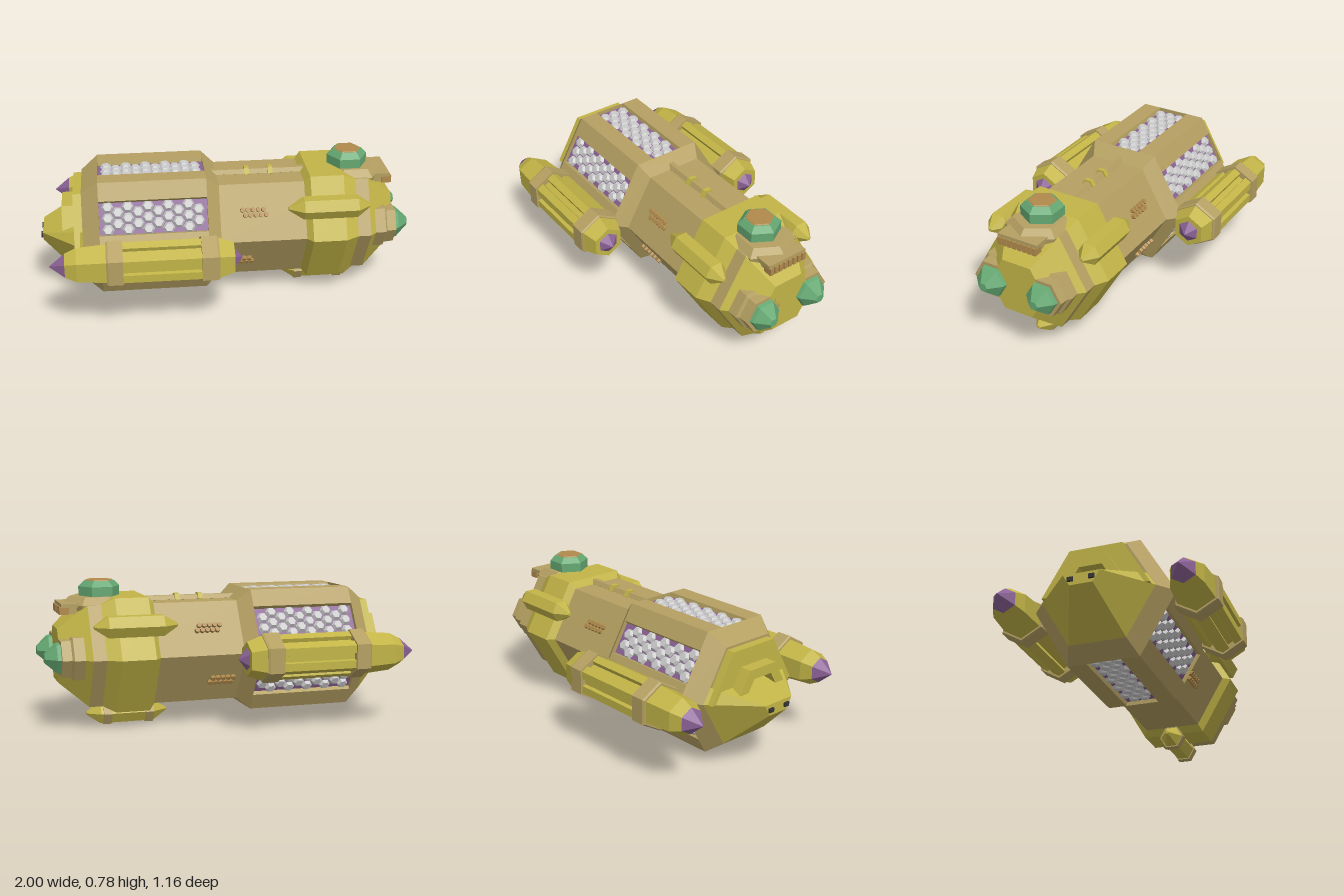
import * as THREE from 'three';
import { mergeGeometries } from 'three/addons/utils/BufferGeometryUtils.js';
import { ConvexGeometry } from 'three/addons/geometries/ConvexGeometry.js';

const mat = (color) => new THREE.MeshStandardMaterial({ color, flatShading: true });
const YELLOW = mat(0xc2b447), TAN = mat(0xb5a062), GREEN = mat(0x65a872), PURPLE = mat(0x8b6296);
const ORANGE = mat(0xb08a4c), GREY = mat(0xcccccc), DARK = mat(0x333333);
const AXIS = 0.395; // height of the hull axis

export function createModel() {
  const model = new THREE.Group();

  const add = (name, geo, material, x = 0, y = 0, z = 0, parent = model) => {
    const m = new THREE.Mesh(geo, material);
    m.name = name;
    m.position.set(x, y, z);
    parent.add(m);
    return m;
  };

  // Six-sided closed solid along x from [x, radius] pairs; turn = 0 gives a flat top
  const hex = (profile, turn = 0) => {
    const pts = [[profile[0][0], 0], ...profile, [profile.at(-1)[0], 0]];
    return new THREE.LatheGeometry(pts.map(([x, r]) => new THREE.Vector2(r, x)), 6)
      .rotateZ(-Math.PI / 2).rotateX(turn);
  };

  // Extrude a z/y outline along x, starting at x0
  const alongX = (shape, x0, length) =>
    new THREE.ExtrudeGeometry(shape, { depth: length, bevelEnabled: false })
      .rotateY(Math.PI / 2).translate(x0, 0, 0);

  // Six bent strips over the corners of a hexagonal prism
  const cornerStrips = (r, arm, inner, x0, x1, turn = 0) => {
    const v = (k) => new THREE.Vector2(Math.cos(k * Math.PI / 3) * r, Math.sin(k * Math.PI / 3) * r);
    const strips = [];
    for (let k = 0; k < 6; k++) {
      const c = v(k), a = c.clone().lerp(v(k - 1), arm), b = c.clone().lerp(v(k + 1), arm);
      const pts = [a, c, b, ...[b, c, a].map((p) => p.clone().multiplyScalar(inner))];
      strips.push(alongX(new THREE.Shape(pts), x0, x1 - x0));
    }
    return mergeGeometries(strips).rotateX(turn);
  };

  // Main hull: front barrel, wide rear section, tapers
  add('frontBarrel', hex([[-0.08, 0.31], [0.77, 0.31]]), TAN, 0, AXIS);
  add('rearHullFrontTaper', hex([[-0.11, 0.378], [-0.04, 0.31]]), TAN, 0, AXIS);
  add('rearHullBackTaper', hex([[-0.77, 0.3], [-0.68, 0.378]]), TAN, 0, AXIS);
  add('rearHullCornerPlates', cornerStrips(0.378, 0.262, 0.88, -0.68, -0.11), TAN, 0, AXIS);
  add('recessedPanels', hex([[-0.69, 0.352], [-0.1, 0.352]]), PURPLE, 0, AXIS);

  // Honeycomb cells in the six recessed panels
  const cells = [];
  for (let side = 0; side < 6; side++) {
    for (let col = 0; col < 10; col++) {
      for (const row of col % 2 ? [-0.5, 0.5] : [-1, 0, 1]) {
        cells.push(new THREE.CylinderGeometry(0.022, 0.034, 0.018, 6).rotateY(Math.PI / 2)
          .translate(-0.634 + col * 0.053, 0.312, row * 0.06).rotateX(side * Math.PI / 3));
      }
    }
  }
  add('honeycombCells', mergeGeometries(cells), GREY, 0, AXIS);

  // Tail: lower wedge, stepped arch above it, small vents
  const tail = [];
  for (const s of [-1, 1]) {
    for (const [x, y, z] of [[-0.77, 0.47, 0.255], [-0.77, AXIS, 0.3], [-0.77, 0.135, 0.15],
      [-0.99, 0.4, 0.095], [-0.99, 0.34, 0.06]]) tail.push(new THREE.Vector3(x, y, z * s));
    add('tailVent', new THREE.BoxGeometry(0.02, 0.022, 0.03), DARK, -0.99, 0.37, s * 0.055);
  }
  add('tailWedge', new ConvexGeometry(tail), YELLOW);
  const halfHex = (r) => [[r, 0], [r / 2, r * 0.866], [-r / 2, r * 0.866], [-r, 0]]
    .map(([x, y]) => new THREE.Vector2(x, y));
  const arch = (outer, inner, x0) => {
    const pts = [...halfHex(outer), ...halfHex(inner).reverse()];
    return alongX(new THREE.Shape(pts), x0, -0.76 - x0);
  };
  add('tailOuterArch', arch(0.285, 0.17, -0.815), YELLOW, 0, AXIS);
  add('tailInnerArch', arch(0.18, 0.12, -0.88), YELLOW, 0, AXIS);
  add('tailHatch', alongX(new THREE.Shape(halfHex(0.125)), -0.81, 0.05), TAN, 0, AXIS);

  // Nose and the band behind it
  add('nose', hex([[0.77, 0.31], [0.92, 0.165]]), YELLOW, 0, AXIS);
  add('noseBand', hex([[0.42, 0.31], [0.45, 0.35], [0.63, 0.35], [0.7, 0.31]]), YELLOW, 0, AXIS);

  // Side engines
  for (const s of [-1, 1]) {
    const pod = new THREE.Group();
    pod.name = 'sideEngine';
    pod.position.set(0, AXIS, s * 0.468);
    model.add(pod);
    const up = Math.PI / 6;
    const part = (name, geo, material) => add(name, geo, material, 0, 0, 0, pod);
    part('engineBody', hex([[-0.86, 0.07], [-0.8, 0.1], [-0.65, 0.113], [-0.62, 0.095],
      [-0.12, 0.095], [-0.08, 0.12], [0.005, 0.09]], up), YELLOW);
    part('engineRibs', cornerStrips(0.12, 0.34, 0.75, -0.57, -0.16, up), YELLOW);
    part('engineRearTip', hex([[-0.94, 0.002], [-0.86, 0.07]], up), PURPLE);
    part('engineFrontTip', hex([[0.005, 0.06], [0.05, 0.002]], up), PURPLE);
    part('engineRearCollar', hex([[-0.65, 0.124], [-0.64, 0.131], [-0.565, 0.131]], up), TAN);
    part('engineFrontCollar', hex([[-0.165, 0.131], [-0.085, 0.131], [-0.075, 0.124]], up), TAN);
  }

  // Three thruster pods on the nose band
  for (const [y, z] of [[0.563, 0.275], [0.563, -0.275], [0.06, 0]]) {
    add('thrusterPod', hex([[0.32, 0.01], [0.4, 0.062], [0.69, 0.062], [0.76, 0.01]]), YELLOW, 0, y, z);
    if (z === 0) {
      for (const x of [0.4, 0.63]) {
        add('thrusterCollar', hex([[x, 0.069], [x + 0.045, 0.069]]), TAN, 0, y, z);
      }
    }
  }

  // Twin nose lenses
  for (const s of [-1, 1]) {
    add('lensHousing', hex([[0.78, 0.128], [0.86, 0.128], [0.87, 0.112], [0.92, 0.108]]), TAN, 0, AXIS, s * 0.15);
    add('lens', hex([[0.915, 0.09], [0.94, 0.083], [1, 0.025]]), GREEN, 0, AXIS, s * 0.15);
  }

  // Turret on its platform, with a row of slats in front
  const disc = (top, bottom, h) => new THREE.CylinderGeometry(top, bottom, h, 6).rotateY(Math.PI / 2);
  add('turretPlatformTop', disc(0.13, 0.17, 0.04), TAN, 0.71, 0.68, 0);
  add('turretPlatform', disc(0.17, 0.16, 0.04), TAN, 0.71, 0.64, 0);
  add('turretPlatformUnderside', disc(0.16, 0.03, 0.06), TAN, 0.71, 0.595, 0);
  add('turretBrow', new THREE.BoxGeometry(0.13, 0.02, 0.23), TAN, 0.835, 0.66, 0);
  add('turretBrowCore', new THREE.BoxGeometry(0.11, 0.04, 0.2), TAN, 0.835, 0.635, 0);
  for (let i = 0; i < 8; i++) {
    add('browSlat', new THREE.BoxGeometry(0.05, 0.04, 0.021), ORANGE, 0.885, 0.634, (i - 3.5) * 0.029);
  }
  add('turretDome', disc(0.11, 0.11, 0.05), GREEN, 0.68, 0.725, 0);
  add('turretDomeTop', disc(0.08, 0.11, 0.03), GREEN, 0.68, 0.765, 0);
  add('turretCap', disc(0.07, 0.075, 0.006), ORANGE, 0.68, 0.782, 0);

  // Spine conduit with clamps
  add('spine', hex([[-0.07, 0.026], [0.45, 0.026]]), TAN, 0, 0.664, 0);
  for (const x of [0.125, 0.255]) {
    add('spineClamp', hex([[x - 0.013, 0.036], [x + 0.013, 0.036]]), YELLOW, 0, 0.665, 0);
  }

  // Clusters of hexagonal studs on the four sloped barrel faces
  for (const [side, x0] of [[1, 0.08], [-1, 0.08], [2, 0.005], [-2, 0.005]]) {
    const studs = [];
    for (let i = 0; i < 10; i++) {
      const row = Math.floor(i / 5);
      const lower = Math.abs(side) === 2;
      studs.push(new THREE.CylinderGeometry(0.013, 0.015, 0.03, 6)
        .translate(x0 + (i % 5) * 0.028 + row * 0.014, 0.272, Math.sign(side) * ((row - 0.5) * 0.028 + (lower ? 0.01 : 0)))
        .rotateX(side * Math.PI / 3));
    }
    add('studCluster', mergeGeometries(studs), ORANGE, 0, AXIS);
  }

  return model;
}
